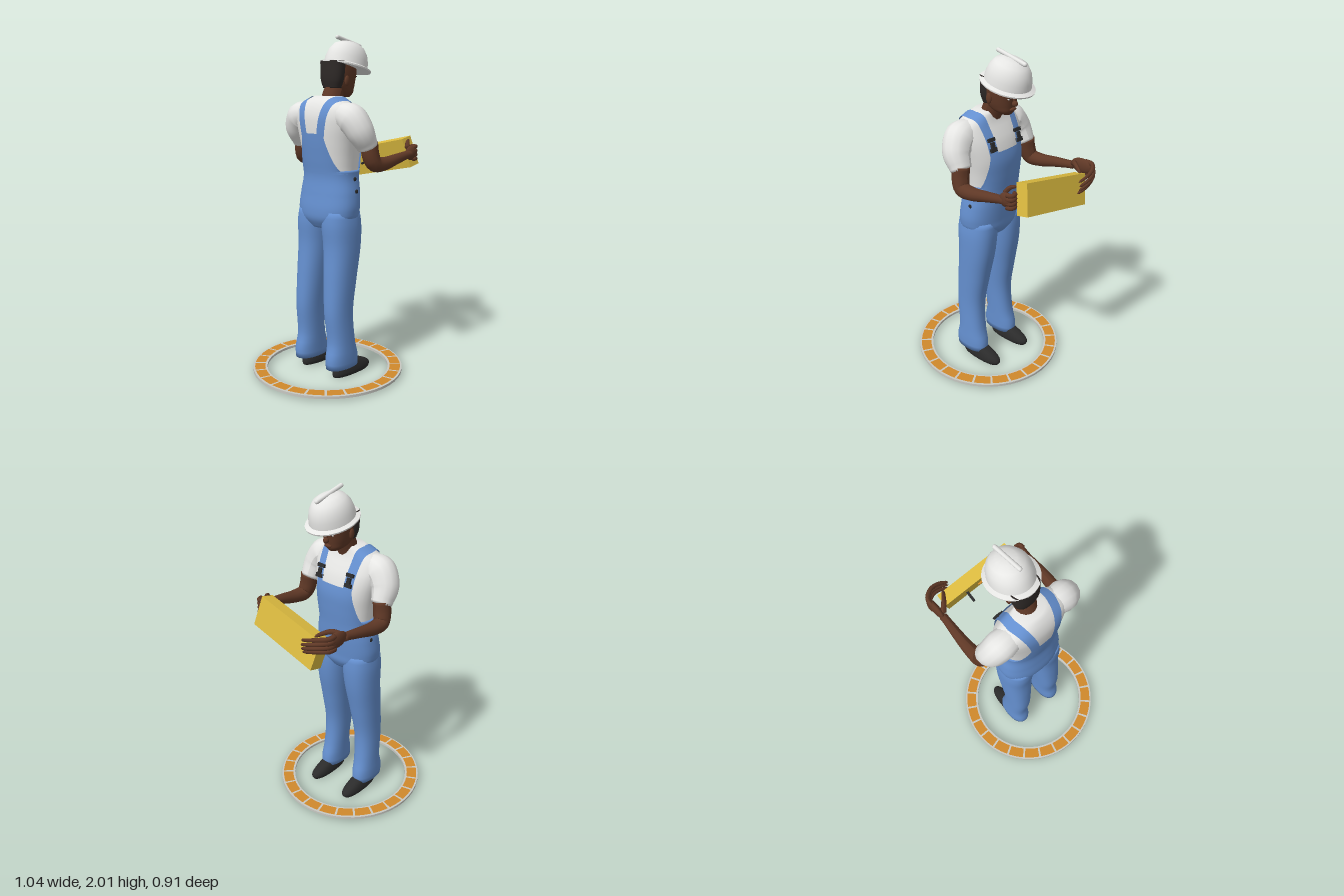
import * as THREE from 'three';
import { toCreasedNormals } from 'three/addons/utils/BufferGeometryUtils.js';

const flat = (name, color, side = THREE.FrontSide) => {
  const m = new THREE.MeshStandardMaterial({ color, side });
  m.name = name;
  return m;
};
const N = 2.3; // roundness of body cross-sections
const lerp = THREE.MathUtils.lerp;
const spow = (v, e) => Math.sign(v) * Math.abs(v) ** e;

// Smooth sampler for rows of [y, cx, cz, rx, rz]
function sampler(rows) {
  const f = new THREE.CubicInterpolant(rows.map(r => r[0]), rows.flatMap(r => r.slice(1)), 4, new Float32Array(4));
  return y => Array.from(f.evaluate(y));
}

// Capped skin over horizontal cross-sections
function loft(rows, { from = rows[0][0], to = rows.at(-1)[0], off = 0, steps = 28, sides = 36, n = N } = {}) {
  const at = sampler(rows), pos = [], idx = [];
  for (let i = 0; i <= steps; i++) {
    const y = lerp(from, to, i / steps), [cx, cz, rx, rz] = at(y);
    for (let j = 0; j < sides; j++) {
      const a = j / sides * Math.PI * 2;
      pos.push(cx + (rx + off) * spow(Math.cos(a), 2 / n), y, cz + (rz + off) * spow(Math.sin(a), 2 / n));
    }
  }
  for (let i = 0; i < steps; i++) for (let j = 0; j < sides; j++) {
    const a = i * sides + j, b = i * sides + (j + 1) % sides;
    idx.push(a, a + sides, b, b, a + sides, b + sides);
  }
  const lo = pos.length / 3, top = steps * sides, c0 = at(from), c1 = at(to);
  pos.push(c0[0], from, c0[1], c1[0], to, c1[1]);
  for (let j = 0; j < sides; j++) {
    const k = (j + 1) % sides;
    idx.push(lo, j, k, lo + 1, top + k, top + j);
  }
  return finish(pos, idx);
}

// Open sheet from a point rule f(u, v)
function sheet(f, nu, nv) {
  const pos = [], idx = [];
  for (let i = 0; i <= nu; i++) for (let j = 0; j <= nv; j++) pos.push(...f(i / nu, j / nv));
  for (let i = 0; i < nu; i++) for (let j = 0; j < nv; j++) {
    const a = i * (nv + 1) + j, c = a + nv + 1;
    idx.push(a, c, a + 1, a + 1, c, c + 1);
  }
  return finish(pos, idx);
}

function finish(pos, idx) {
  const g = new THREE.BufferGeometry();
  g.setAttribute('position', new THREE.Float32BufferAttribute(pos, 3));
  g.setIndex(idx);
  g.computeVertexNormals();
  return g;
}

// Tube through [x, y, z, radius] points with rounded tips
function limb(pts, steps = 24, sides = 14) {
  const curve = new THREE.CatmullRomCurve3(pts.map(p => new THREE.Vector3(p[0], p[1], p[2])));
  const g = new THREE.TubeGeometry(curve, steps, 1, sides), p = g.attributes.position, v = new THREE.Vector3();
  for (let i = 0; i <= steps; i++) {
    const c = curve.getPointAt(i / steps), t = curve.getUtoTmapping(i / steps) * (pts.length - 1);
    const k = Math.min(Math.floor(t), pts.length - 2);
    let r = lerp(pts[k][3], pts[k + 1][3], t - k);
    if (i === 0 || i === steps) r = 0.0005;
    for (let j = 0; j <= sides; j++) {
      const q = i * (sides + 1) + j;
      v.fromBufferAttribute(p, q).sub(c).multiplyScalar(r).add(c);
      p.setXYZ(q, v.x, v.y, v.z);
    }
  }
  g.computeVertexNormals();
  return g;
}

export function createModel() {
  const root = new THREE.Group();
  const blue = flat('denim', 0x6590d0, THREE.DoubleSide), white = flat('white', 0xe6e6e4);
  const skin = flat('skin', 0x5f3826), black = flat('black', 0x2b2b2b), hair = flat('hair', 0x2e2927);
  const yellow = flat('yellow', 0xdcbb40), orange = flat('orange', 0xd0892c), grey = flat('pale grey', 0xc8c8c2);
  const add = (name, geo, mat, x = 0, y = 0, z = 0, parent = root) => {
    const m = new THREE.Mesh(geo, mat);
    m.name = name;
    m.position.set(x, y, z);
    parent.add(m);
    return m;
  };
  const ball = (name, mat, p, s, parent) => add(name, new THREE.SphereGeometry(1, 20, 14), mat, ...p, parent).scale.set(...s);

  // Floor ring with 24 tiles
  const rim = [[0.37, 0.012], [0.456, 0.012], [0.456, 0.027], [0.37, 0.027], [0.37, 0.012]].map(p => new THREE.Vector2(...p));
  add('ringBase', toCreasedNormals(new THREE.LatheGeometry(rim, 48), 0.6), grey, -0.06);
  for (let i = 0; i < 24; i++) {
    const tile = new THREE.RingGeometry(0.382, 0.445, 4, 1, (i * 15 + 0.9) * Math.PI / 180, 13.2 * Math.PI / 180);
    add('ringTile', tile.rotateX(-Math.PI / 2), orange, -0.06, 0.03);
  }

  // Torso: shirt, trousers body, bib and back panel share one form
  const torso = [[0.9, -0.045, 0, 0.09, 0.1], [0.95, -0.045, 0, 0.118, 0.18], [1.0, -0.045, 0, 0.123, 0.197],
    [1.1, -0.035, 0, 0.122, 0.192], [1.2, -0.028, 0, 0.12, 0.174], [1.3, -0.03, 0, 0.13, 0.182],
    [1.4, -0.035, 0, 0.137, 0.2], [1.5, -0.05, 0, 0.128, 0.222], [1.55, -0.06, 0, 0.115, 0.226],
    [1.6, -0.065, 0, 0.095, 0.205], [1.635, -0.06, 0, 0.08, 0.14], [1.66, -0.05, 0, 0.066, 0.085]];
  const body = sampler(torso), OFF = 0.009;
  const xAt = (y, z, sign, off = OFF) => {
    const [cx, , rx, rz] = body(y);
    return cx + sign * (rx + off) * (1 - Math.min(1, Math.abs(z) / (rz + off)) ** N) ** (1 / N);
  };
  add('shirt', loft(torso, { from: 1.18 }), white);
  add('overallsBody', loft(torso, { to: 1.24, off: 0.008 }), blue);
  for (const [name, sign, w] of [['bib', 1, 0.128], ['backPanel', -1, 0.085]]) {
    add(name, sheet((u, v) => {
      const y = lerp(1.22, 1.45, u), z = lerp(0.178, w, u ** 0.6) * (2 * v - 1);
      return [xAt(y, z, sign), y, z];
    }, 12, 24), blue);
  }
  const topOf = z => {
    let y = 1.56;
    while (y < 1.66 && body(y)[3] + OFF > Math.abs(z)) y += 0.0005;
    return y;
  };

  // Head
  const face = [[1.652, 0.08, 0, 0.03, 0.025], [1.67, 0.066, 0, 0.058, 0.05], [1.7, 0.045, 0, 0.086, 0.065],
    [1.74, 0.042, 0, 0.096, 0.074], [1.8, 0.045, 0, 0.103, 0.08], [1.86, 0.045, 0, 0.1, 0.078]];
  add('head', loft(face), skin);
  add('neck', limb([[-0.045, 1.58, 0, 0.062], [-0.02, 1.65, 0, 0.06], [0.01, 1.72, 0, 0.058], [0.02, 1.76, 0, 0.05]]), skin);
  add('hair', loft([[1.705, -0.018, 0, 0.038, 0.062], [1.75, -0.018, 0, 0.048, 0.078], [1.86, -0.012, 0, 0.055, 0.085]]), hair);
  ball('nose', skin, [0.143, 1.722, 0], [0.018, 0.017, 0.016]);
  ball('noseBridge', skin, [0.136, 1.745, 0], [0.012, 0.028, 0.009]);
  ball('lips', skin, [0.13, 1.688, 0], [0.012, 0.01, 0.025]);

  // Helmet, tipped forward
  const helmet = new THREE.Group();
  helmet.name = 'helmet';
  helmet.position.set(0.09, 1.825, 0);
  helmet.rotation.z = -0.245;
  root.add(helmet);
  const dome = [[0.001, -0.004], [1.17, -0.008], [1.18, 0], [1.0, 0.01], [0.97, 0.045], [0.88, 0.085], [0.7, 0.12], [0.42, 0.14], [0.001, 0.148]];
  const shell = new THREE.LatheGeometry(dome.map(p => new THREE.Vector2(...p)), 48);
  add('helmetShell', toCreasedNormals(shell.scale(0.138, 1, 0.12), 0.7), white, 0, 0, 0, helmet);
  add('helmetRidge', new THREE.CapsuleGeometry(0.012, 0.19, 6, 14).rotateZ(Math.PI / 2), white, -0.01, 0.147, 0, helmet);

  for (const s of [1, -1]) {
    // Legs and shoes
    const leg = [[0.06, -0.07, 0.135, 0.112, 0.064], [0.12, -0.072, 0.135, 0.113, 0.067], [0.2, -0.073, 0.132, 0.093, 0.067],
      [0.4, -0.087, 0.124, 0.092, 0.071], [0.6, -0.068, 0.117, 0.103, 0.083], [0.8, -0.045, 0.109, 0.115, 0.096],
      [0.93, -0.045, 0.103, 0.122, 0.1], [1.0, -0.045, 0.1, 0.115, 0.092]];
    const side = rows => rows.map(([y, cx, cz, rx, rz]) => [y, cx, cz * s, rx, rz]);
    add('trouserLeg', loft(side(leg)), blue);
    add('shoe', loft(side([[0, 0.005, 0.135, 0.14, 0.042], [0.015, 0.008, 0.135, 0.147, 0.049], [0.035, 0.008, 0.135, 0.144, 0.049],
      [0.06, -0.005, 0.135, 0.12, 0.045], [0.1, -0.06, 0.135, 0.07, 0.036]]), { steps: 14 }), black);

    // Straps over the shoulders, with buckles
    add('strap', sheet((u, v) => {
      const front = u < 0.5, k = Math.abs(2 * u - 1);
      const z = s * (lerp(0.128, front ? 0.105 : 0.06, k) + 0.027 * (2 * v - 1));
      const y = lerp(front ? 1.44 : 1.4, topOf(z), Math.sin(Math.PI * u));
      return [xAt(y, z, front ? 1 : -1), y, z];
    }, 40, 4), blue);
    for (const [y, h, w] of [[1.525, 0.02, 0.05], [1.495, 0.035, 0.024], [1.47, 0.022, 0.046]]) {
      const clip = add('buckle', new THREE.BoxGeometry(0.014, h, w), black, xAt(y, 0.108, 1) + 0.004, y, 0.108 * s);
      clip.rotation.z = 0.3;
    }
    for (const y of [1.12, 1.19]) ball('sideButton', black, [-0.015, y, s * (body(y)[3] + 0.008)], [0.012, 0.012, 0.005]);
    add('sleeve', limb([[-0.07, 1.55, 0.13 * s, 0.075], [-0.07, 1.535, 0.21 * s, 0.088], [-0.05, 1.465, 0.258 * s, 0.08],
      [-0.015, 1.4, 0.27 * s, 0.064], [0, 1.37, 0.273 * s, 0.058]]), white);

    // Face details
    ball('ear', skin, [0.025, 1.745, 0.078 * s], [0.018, 0.03, 0.01]);
    ball('eye', white, [0.129, 1.752, 0.031 * s], [0.006, 0.006, 0.012]);
    ball('pupil', black, [0.133, 1.752, 0.031 * s], [0.004, 0.005, 0.005]);
    ball('eyebrow', hair, [0.131, 1.77, 0.033 * s], [0.008, 0.005, 0.02]);

    // Bare arms
    add('arm', limb([[0, 1.42, 0.275 * s, 0.05], [0.005, 1.33, 0.287 * s, 0.05], [0.025, 1.285, 0.297 * s, 0.046],
      [0.1, 1.28, 0.303 * s, 0.039], [0.2, 1.298, 0.304 * s, 0.031], [0.3, 1.315, 0.3 * s, 0.024], [0.35, 1.322, 0.3 * s, 0.024]], 32), skin);
  }

  // Right hand spread over the front of the box
  ball('rightPalm', skin, [0.395, 1.33, -0.305], [0.075, 0.045, 0.022]);
  for (let i = 0; i < 4; i++) {
    const y = 1.36 - i * 0.024, out = [0, 0.006, 0.004, -0.006][i];
    add('rightFinger', limb([[0.4, y, -0.31, 0.015], [0.455, y, -0.308, 0.014], [0.497 + out, y - 0.005, -0.26, 0.012],
      [0.505 + out, y - 0.025, -0.2, 0.01], [0.488 + out, y - 0.05, -0.145, 0.007]], 18, 8), skin);
  }
  add('rightThumb', limb([[0.34, 1.335, -0.295, 0.018], [0.38, 1.355, -0.255, 0.015], [0.43, 1.345, -0.22, 0.011], [0.455, 1.335, -0.205, 0.007]], 14, 8), skin);

  // Left hand curled around the end of the box
  ball('leftPalm', skin, [0.345, 1.325, 0.297], [0.045, 0.042, 0.024]);
  for (let i = 0; i < 4; i++) {
    const y = 1.36 - i * 0.024;
    add('leftFinger', limb([[0.35, y, 0.308, 0.014], [0.382, y, 0.3, 0.013], [0.385, y, 0.272, 0.012], [0.36, y, 0.258, 0.009]], 14, 8), skin);
  }
  add('leftThumb', limb([[0.32, 1.35, 0.285, 0.015], [0.345, 1.385, 0.268, 0.012], [0.375, 1.395, 0.25, 0.008]], 12, 8), skin);

  // Tilted box with two pegs and a clasp on its inner face
  const box = new THREE.Group();
  box.name = 'carriedBox';
  const u = new THREE.Vector3(0.033, -0.095, -0.47).normalize(), v = new THREE.Vector3(0.04, -0.17, 0.032);
  v.addScaledVector(u, -v.dot(u)).normalize();
  box.quaternion.setFromRotationMatrix(new THREE.Matrix4().makeBasis(u, v, u.clone().cross(v)));
  box.position.set(0.422, 1.277, 0.006);
  root.add(box);
  add('boxBody', new THREE.BoxGeometry(0.482, 0.178, 0.076), yellow, 0, 0, 0, box);
  for (const x of [-0.11, 0.095]) add('boxPeg', new THREE.BoxGeometry(0.016, 0.012, 0.07), black, x, 0.005, 0.07, box);
  add('boxClasp', new THREE.BoxGeometry(0.035, 0.016, 0.012), orange, 0, 0.005, 0.042, box);
  return root;
}
